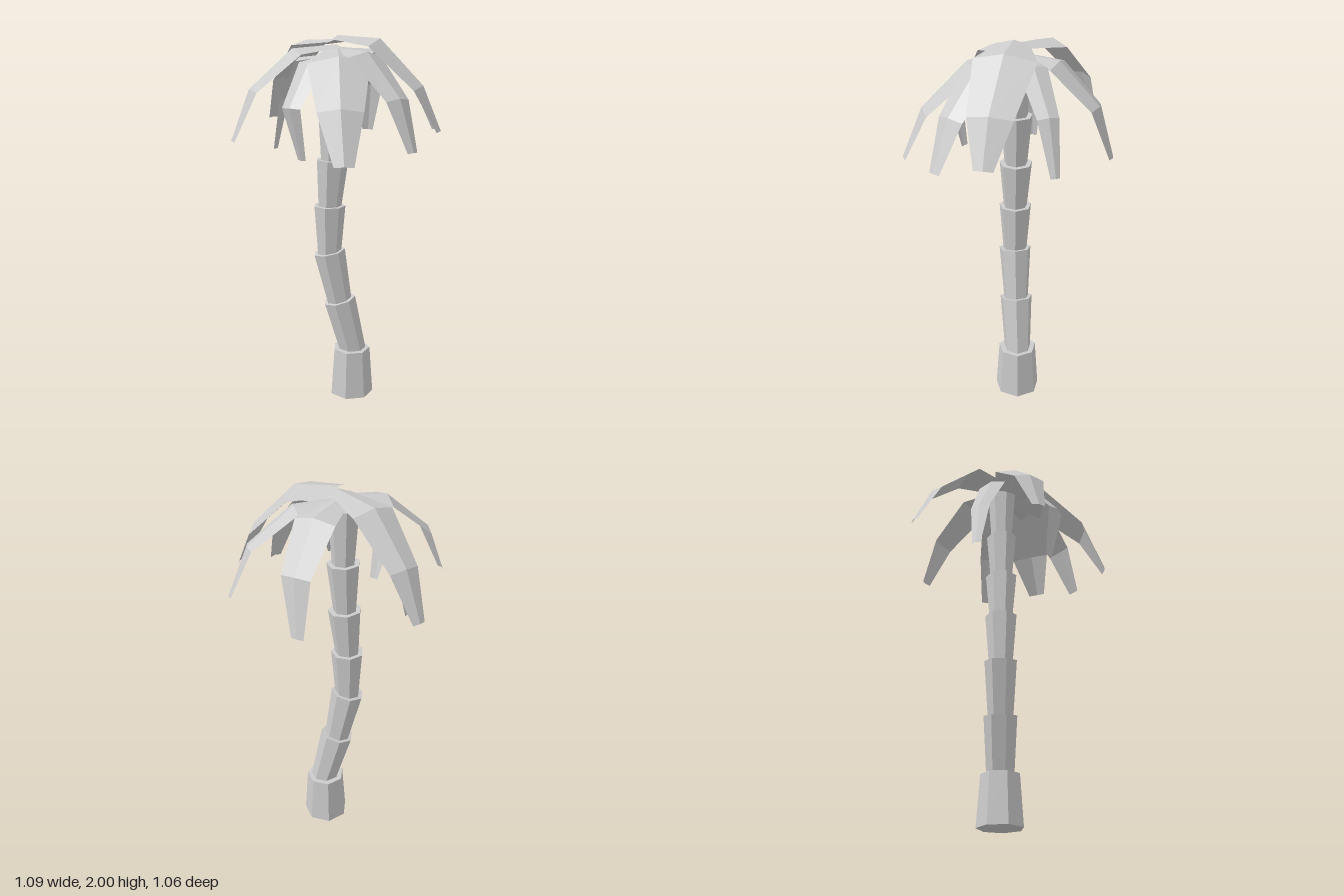
import * as THREE from 'three';

const material = new THREE.MeshStandardMaterial({
  color: 0xcccccc, flatShading: true, side: THREE.DoubleSide,
});
const AXIS_Z = -0.055;

// One seven-sided trunk ring, wider at its top, leaning along its own axis
function trunkSegment([x0, y0, r0, x1, y1, r1]) {
  const from = new THREE.Vector3(x0, y0, AXIS_Z);
  const axis = new THREE.Vector3(x1, y1, AXIS_Z).sub(from);
  const geometry = new THREE.CylinderGeometry(r1, r0, axis.length(), 7, 1, false, 1.456);
  const mesh = new THREE.Mesh(geometry, material);
  mesh.position.copy(from).addScaledVector(axis, 0.5);
  mesh.quaternion.setFromUnitVectors(new THREE.Vector3(0, 1, 0), axis.normalize());
  return mesh;
}

// A drooping leaf folded along its ridge: left edge, ridge and right edge per station
const WIDTHS = [0.5, 1, 0.72, 0.31];
function frond({ width, baseY, spine }) {
  const points = [[0, baseY, -0.04], ...spine].map((p) => new THREE.Vector3(...p));
  const heading = points[2].clone().sub(points[0]).setY(0).normalize();
  const across = new THREE.Vector3(0, 1, 0).cross(heading);
  const positions = [];
  const index = [];
  points.forEach((p, i) => {
    const w = width * WIDTHS[i];
    const tangent = points[Math.min(i + 1, 3)].clone().sub(points[Math.max(i - 1, 0)]).normalize();
    const lift = tangent.cross(across).normalize().multiplyScalar(0.13 * w);
    positions.push(
      ...p.clone().addScaledVector(across, -w / 2).toArray(),
      ...p.clone().add(lift).toArray(),
      ...p.clone().addScaledVector(across, w / 2).toArray(),
    );
    if (i === 3) return;
    for (let j = 0; j < 2; j++) {
      const a = i * 3 + j;
      index.push(a, a + 3, a + 1, a + 1, a + 3, a + 4);
    }
  });
  const geometry = new THREE.BufferGeometry();
  geometry.setAttribute('position', new THREE.Float32BufferAttribute(positions, 3));
  geometry.setIndex(index);
  geometry.computeVertexNormals();
  return new THREE.Mesh(geometry, material);
}

// Trunk rings: bottom x, y, radius, then top x, y, radius
const SEGMENTS = [
  [0.083, 0, 0.123, 0.083, 0.27, 0.104],
  [0.093, 0.25, 0.073, 0.015, 0.562, 0.09],
  [0.016, 0.55, 0.068, -0.042, 0.845, 0.088],
  [-0.042, 0.83, 0.065, -0.04, 1.105, 0.087],
  [-0.04, 1.09, 0.063, -0.025, 1.355, 0.087],
  [-0.027, 1.34, 0.06, -0.018, 1.615, 0.085],
  [-0.018, 1.6, 0.058, -0.02, 1.9, 0.08],
];

// Leaf spines: shoulder, bend and tip
const FRONDS = [
  { width: 0.31, baseY: 1.98, spine: [[0.195, 1.95, 0.028], [0.4, 1.74, 0.12], [0.5, 1.53, 0.162]] },
  { width: 0.225, baseY: 1.965, spine: [[-0.14, 1.945, -0.245], [-0.268, 1.745, -0.425], [-0.335, 1.525, -0.515]] },
  { width: 0.223, baseY: 1.94, spine: [[-0.218, 1.91, 0.015], [-0.43, 1.73, 0.09], [-0.533, 1.487, 0.133]] },
  { width: 0.21, baseY: 1.93, spine: [[0.12, 1.9, -0.232], [0.21, 1.71, -0.41], [0.21, 1.45, -0.5]] },
  { width: 0.31, baseY: 1.92, spine: [[-0.005, 1.87, 0.17], [-0.012, 1.66, 0.397], [-0.003, 1.42, 0.515]] },
  { width: 0.22, baseY: 1.92, spine: [[0.13, 1.9, 0.13], [0.27, 1.7, 0.29], [0.335, 1.46, 0.378]] },
  { width: 0.15, baseY: 1.93, spine: [[0.21, 1.91, -0.1], [0.43, 1.74, -0.14], [0.538, 1.495, -0.16]] },
  { width: 0.16, baseY: 1.9, spine: [[-0.18, 1.87, -0.11], [-0.275, 1.66, -0.17], [-0.325, 1.395, -0.185]] },
  { width: 0.16, baseY: 1.9, spine: [[-0.135, 1.87, 0.1], [-0.24, 1.66, 0.24], [-0.19, 1.4, 0.2]] },
];

export function createModel() {
  const model = new THREE.Group();
  model.name = 'palmTree';

  const trunk = new THREE.Group();
  trunk.name = 'trunk';
  SEGMENTS.forEach((s, i) => {
    const mesh = trunkSegment(s);
    mesh.name = i === 0 ? 'trunkBase' : `trunkSegment${i}`;
    trunk.add(mesh);
  });

  const crown = new THREE.Group();
  crown.name = 'crown';
  FRONDS.forEach((f, i) => {
    const mesh = frond(f);
    mesh.name = `frond${i + 1}`;
    crown.add(mesh);
  });

  model.add(trunk, crown);
  return model;
}
